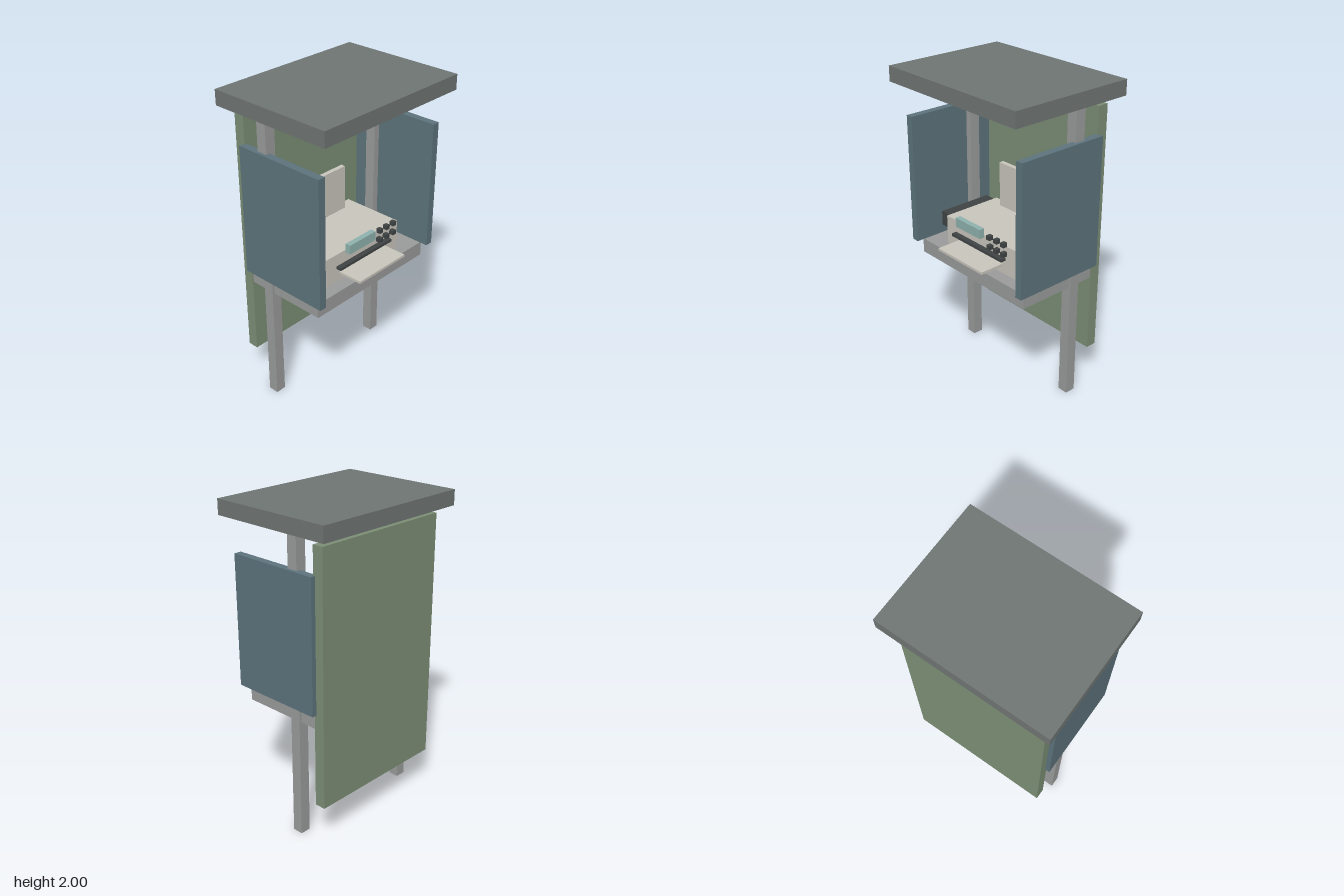
import * as THREE from 'three';

const mat = (color) => new THREE.MeshStandardMaterial({ color });

export function createModel() {
  const model = new THREE.Group();
  const steel = mat(0x9a9c9b), roofGrey = mat(0x707674), green = mat(0x7c8f76);
  const blue = mat(0x5d747c), cream = mat(0xcac6be), dark = mat(0x404444), teal = mat(0x8fb2ae);

  // Box given by its extents along x, y and z
  function box(parent, name, material, [x0, x1], [y0, y1], [z0, z1]) {
    const mesh = new THREE.Mesh(new THREE.BoxGeometry(x1 - x0, y1 - y0, z1 - z0), material);
    mesh.position.set((x0 + x1) / 2, (y0 + y1) / 2, (z0 + z1) / 2);
    mesh.name = name;
    parent.add(mesh);
  }

  // Shelter: roof, back panel, shelf
  box(model, 'roof', roofGrey, [-0.546, 0.546], [1.905, 2], [-0.415, 0.415]);
  box(model, 'backPanel', green, [-0.48, 0.48], [0.26, 1.86], [-0.34, -0.27]);
  box(model, 'shelf', steel, [-0.473, 0.473], [0.765, 0.86], [-0.28, 0.28]);

  // Posts and side screens, mirrored
  for (const [side, s] of [['left', 1], ['right', -1]]) {
    const span = (a, b) => (s > 0 ? [a, b] : [-b, -a]);
    box(model, side + 'Post', steel, span(0.421, 0.489), [0, 1.905], [-0.153, -0.085]);
    box(model, side + 'Screen', blue, span(0.462, 0.51), [0.86, 1.69], [-0.283, 0.333]);
  }

  // Desk machine on the shelf
  const machine = new THREE.Group();
  machine.name = 'deskMachine';
  model.add(machine);
  box(machine, 'machineBody', cream, [-0.32, 0.32], [0.86, 1.05], [-0.21, 0.2]);
  box(machine, 'paperSupport', cream, [-0.22, 0.22], [1.04, 1.345], [-0.18, -0.15]);
  box(machine, 'handset', dark, [-0.41, -0.32], [0.945, 1.04], [-0.2, 0.17]);
  box(machine, 'display', teal, [-0.17, 0.055], [1.045, 1.105], [0.215, 0.25]);
  box(machine, 'paperSlot', dark, [-0.233, 0.229], [0.953, 0.97], [0.195, 0.235]);
  box(machine, 'outputTray', cream, [-0.205, 0.203], [0.906, 0.922], [0.19, 0.362]);

  // Keypad, two rows of three
  const r = 0.014;
  for (const y of [1.012, 1.075]) {
    for (const x of [0.121, 0.183, 0.245]) {
      box(machine, 'button', dark, [x - r, x + r], [y - r, y + r], [0.213, 0.243]);
    }
  }
  return model;
}
